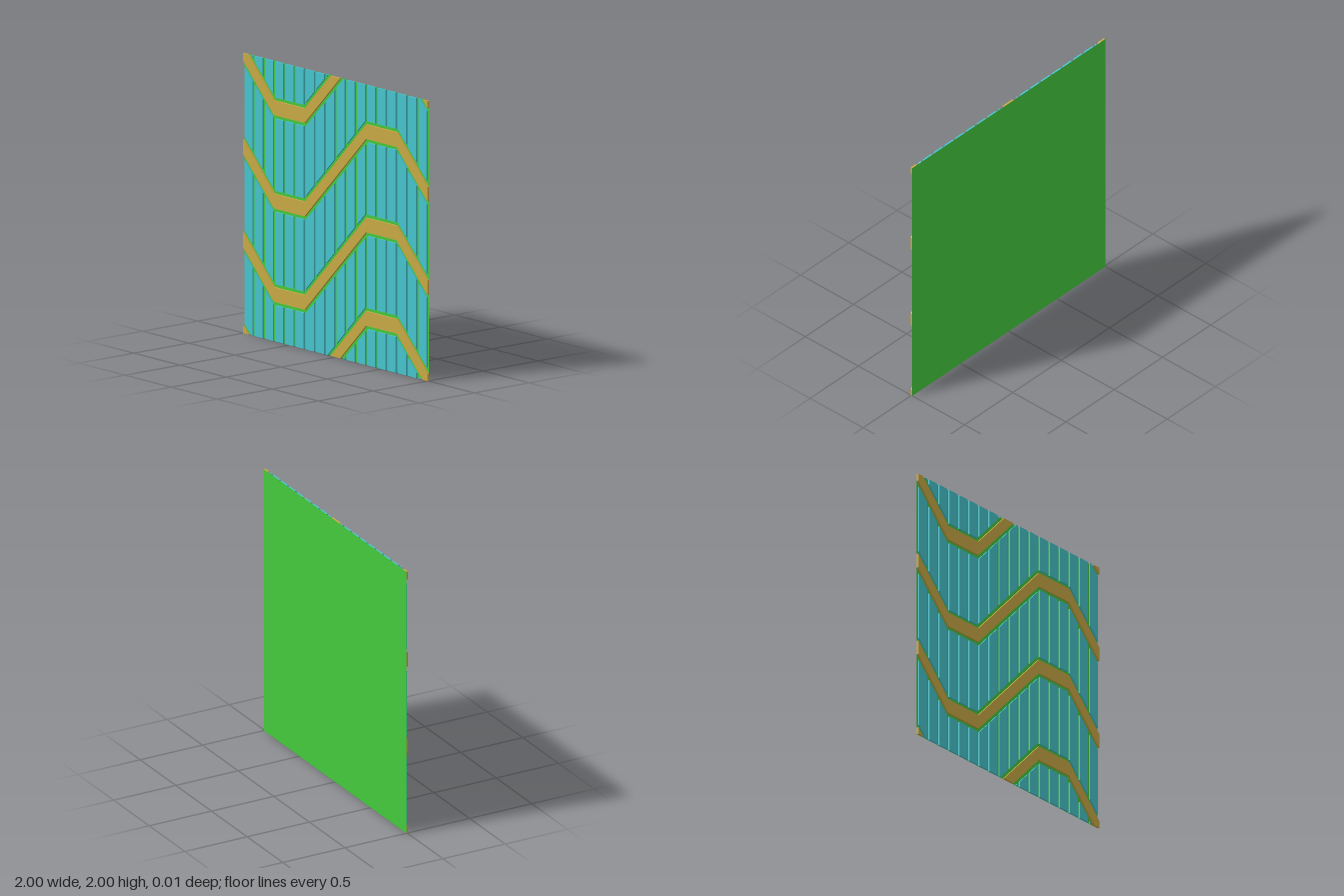
import * as THREE from 'three';

const BACK = -0.0075, SLAT_FRONT = 0.006, BAND_FRONT = 0.0075;
const PITCH = 2 / 3;       // vertical distance between zigzag bands
const BAND_HALF = 0.052;   // half height of a band, measured vertically
const SEAM = 0.024;        // groove width around the slats
const SLATS = 18;

// Centreline of the zigzag, relative to its height at the left edge
const BENDS = [[-1, 0], [-2 / 3, -1 / 3], [-1 / 3, -1 / 3], [1 / 3, 1 / 3], [2 / 3, 1 / 3], [1, 0]];

function zigzag(x) {
  for (let i = 1; i < BENDS.length; i++) {
    const [x0, y0] = BENDS[i - 1], [x1, y1] = BENDS[i];
    if (x <= x1 + 1e-9) return y0 + (y1 - y0) * (x - x0) / (x1 - x0);
  }
  return 0;
}

// Cuts a polygon off at a horizontal line, keeping the side given by sign
function cut(points, level, sign) {
  const out = [];
  points.forEach((p, i) => {
    const q = points[(i + 1) % points.length];
    const a = (p[1] - level) * sign, b = (q[1] - level) * sign;
    if (a >= 0) out.push(p);
    if (a * b < 0) out.push([p[0] + (q[0] - p[0]) * a / (a - b), level]);
  });
  return out;
}

// Extrudes a polygon, trimmed to the panel, from the backing to a front depth
function plate(name, points, front, material, parent) {
  const trimmed = cut(cut(points, 0, 1), 2, -1);
  if (trimmed.length < 3) return;
  const shape = new THREE.Shape(trimmed.map(([x, y]) => new THREE.Vector2(x, y)));
  const back = BACK + 0.0006;
  const geometry = new THREE.ExtrudeGeometry(shape, { depth: front - back, bevelEnabled: false });
  geometry.translate(0, 0, back);
  const mesh = new THREE.Mesh(geometry, material);
  mesh.name = name;
  parent.add(mesh);
}

export function createModel() {
  const model = new THREE.Group();
  model.name = 'zigzagPanel';
  const green = new THREE.MeshStandardMaterial({ color: 0x44c93c, side: THREE.DoubleSide });
  const cyan = new THREE.MeshStandardMaterial({ color: 0x46c5cd });
  const tan = new THREE.MeshStandardMaterial({ color: 0xc9aa45 });

  // Backing sheet
  const backing = new THREE.Mesh(new THREE.PlaneGeometry(2, 2), green);
  backing.name = 'backing';
  backing.position.set(0, 1, BACK);
  model.add(backing);

  // Zigzag bands; the first and last leave the panel and return, so they are split there
  const bands = new THREE.Group();
  bands.name = 'bands';
  model.add(bands);
  for (let k = 0; k <= 3; k++) {
    const split = { 0: [-0.5], 3: [0.5] }[k] ?? [];
    const stops = [-1, ...split, 1];
    for (let s = 1; s < stops.length; s++) {
      const from = stops[s - 1], to = stops[s];
      const xs = [from, ...BENDS.map((b) => b[0]).filter((x) => x > from && x < to), to];
      const edge = (offset) => xs.map((x) => [x, zigzag(x) + k * PITCH + offset]);
      plate('band', [...edge(-BAND_HALF), ...edge(BAND_HALF).reverse()], BAND_FRONT, tan, bands);
    }
  }

  // Upright slats filling the space between neighbouring bands
  const slats = new THREE.Group();
  slats.name = 'slats';
  model.add(slats);
  for (let i = 0; i < SLATS; i++) {
    const a = -1 + i * 2 / SLATS + SEAM / 2;
    const b = -1 + (i + 1) * 2 / SLATS - SEAM / 2;
    const ya = zigzag(a), yb = zigzag(b);
    const gap = BAND_HALF + SEAM * Math.hypot(1, (yb - ya) / (b - a));
    for (let k = -1; k <= 3; k++) {
      const low = k * PITCH + gap, high = (k + 1) * PITCH - gap;
      plate('slat', [[a, ya + low], [b, yb + low], [b, yb + high], [a, ya + high]], SLAT_FRONT, cyan, slats);
    }
  }
  return model;
}
